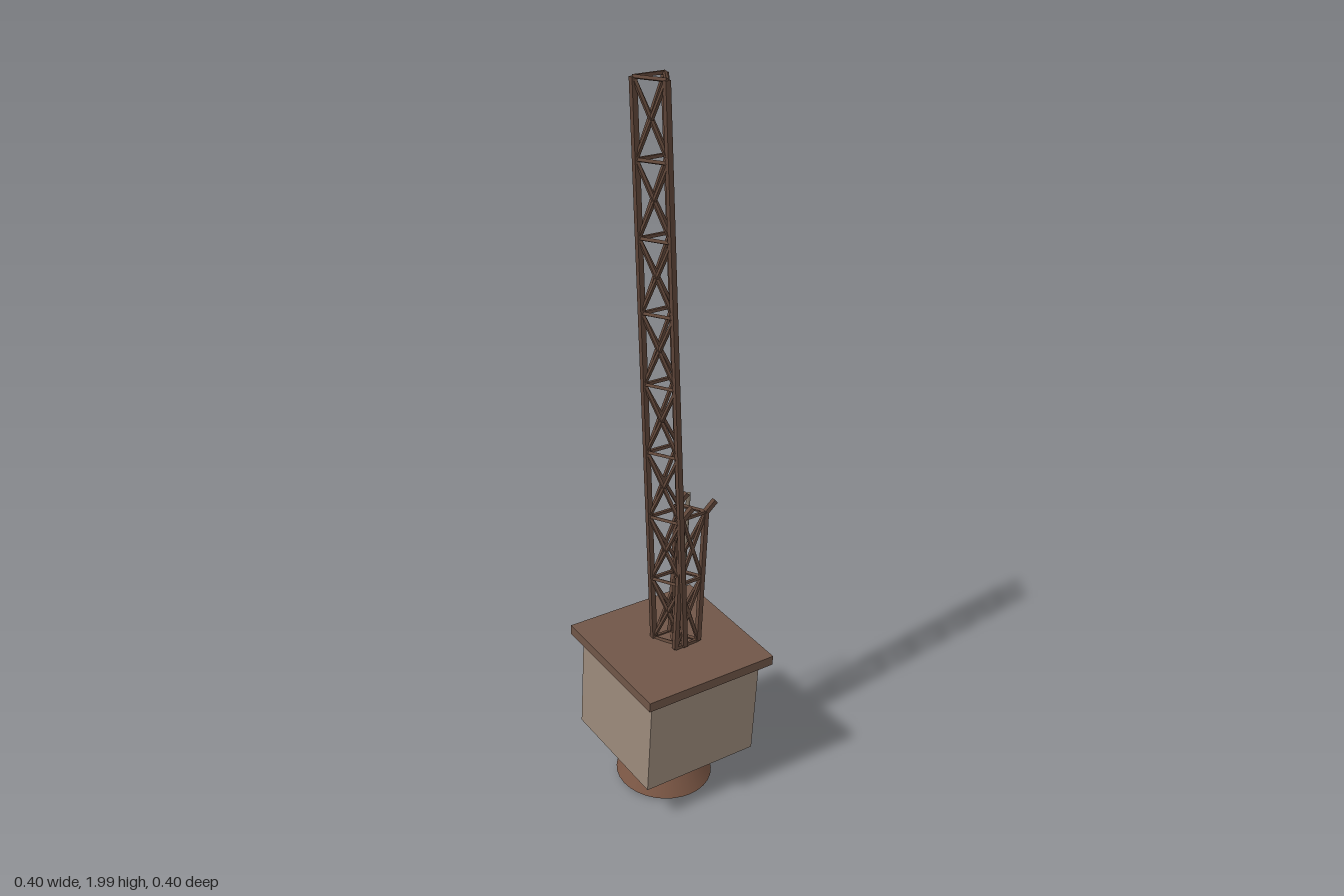
import * as THREE from 'three';

const mat = (name, color) => {
  const m = new THREE.MeshStandardMaterial({ color });
  m.name = name;
  return m;
};

export function createModel() {
  const wall = mat('weathered wall', 0x9c8a7b);
  const roofBrown = mat('roof brown', 0x705648);
  const rust = mat('rusty base', 0x7a5644);
  const mastBrown = mat('mast brown', 0x5e4538);
  const steel = mat('grey steel', 0x6c6d69);
  const rodGrey = mat('rod grey', 0x887b6b);

  const model = new THREE.Group();
  model.name = 'mastCabin';
  const V = (x, y, z) => new THREE.Vector3(x, y, z);

  function add(parent, name, geometry, material, x = 0, y = 0, z = 0) {
    const mesh = new THREE.Mesh(geometry, material);
    mesh.name = name;
    mesh.position.set(x, y, z);
    parent.add(mesh);
    return mesh;
  }

  // Square bar between two points
  function beam(parent, name, a, b, w, material, d = w) {
    const mesh = add(parent, name, new THREE.BoxGeometry(w, a.distanceTo(b), d), material);
    mesh.position.copy(a).add(b).multiplyScalar(0.5);
    mesh.quaternion.setFromUnitVectors(V(0, 1, 0), b.clone().sub(a).normalize());
    return mesh;
  }

  // Three-legged lattice with crossed bracing in every bay
  function lattice(name, bottom, top, bays, legWidth, braceWidth) {
    const group = new THREE.Group();
    group.name = name;
    model.add(group);
    const at = (leg, bay) => bottom[leg % 3].clone().lerp(top[leg % 3], bay / bays);
    for (let i = 0; i < 3; i++) {
      beam(group, 'leg', bottom[i], top[i], legWidth, mastBrown);
      for (let k = 0; k <= bays; k++) {
        beam(group, 'crossbar', at(i, k), at(i + 1, k), braceWidth, mastBrown);
        if (k === bays) continue;
        beam(group, 'brace', at(i, k), at(i + 1, k + 1), braceWidth, mastBrown);
        beam(group, 'brace', at(i + 1, k), at(i, k + 1), braceWidth, mastBrown);
      }
    }
    return group;
  }

  // Tilted cabin with overhanging roof and cone foot
  const cabin = new THREE.Group();
  cabin.name = 'cabin';
  cabin.position.set(-0.005, 0.288, -0.012);
  cabin.rotation.x = 0.085;
  model.add(cabin);
  add(cabin, 'walls', new THREE.BoxGeometry(0.347, 0.294, 0.342), wall);
  add(cabin, 'roof', new THREE.BoxGeometry(0.397, 0.028, 0.395), roofBrown, 0, 0.161, 0);
  add(cabin, 'coneFoot', new THREE.CylinderGeometry(0.072, 0.135, 0.124, 32), rust, 0, -0.207, 0);

  // Half-open hatch on the left wall
  const hatch = add(cabin, 'hatch', new THREE.BoxGeometry(0.008, 0.172, 0.064), wall, 0.185, 0.014, 0.029);
  hatch.rotation.y = 0.56;

  // Loose struts around the foot
  beam(model, 'footStrut', V(0.035, 0.15, -0.08), V(0.112, 0.035, -0.012), 0.028, steel);
  beam(model, 'footStrut', V(0.075, 0.15, 0.025), V(0.025, 0.04, -0.02), 0.028, steel);
  beam(model, 'footStrut', V(-0.075, 0.15, 0.05), V(-0.045, 0.05, 0.01), 0.018, steel);

  // Tall leaning mast
  lattice('mast',
    [V(-0.036, 0.465, -0.036), V(0.008, 0.465, 0.048), V(0.063, 0.465, -0.036)],
    [V(-0.118, 1.994, 0.018), V(-0.079, 1.994, 0.095), V(-0.032, 1.994, 0.018)], 8, 0.014, 0.008);

  // Broken-off short mast with bent leg ends
  const stubTop = [V(0.078, 0.85, 0.042), V(0.04, 0.85, -0.033), V(0.002, 0.85, 0.045)];
  const stubBottom = stubTop.map((p) => V(p.x - 0.022, 0.465, p.z));
  const stub = lattice('shortMast', stubBottom, stubTop, 2, 0.013, 0.008);
  for (const p of stubTop) beam(stub, 'bentEnd', p, p.clone().add(V(0.03, 0.025, 0)), 0.013, mastBrown);

  // Rod on the roof
  const rod = add(model, 'rod', new THREE.CylinderGeometry(0.006, 0.006, 0.385, 6), rodGrey, 0.107, 0.655, -0.095);
  rod.rotation.x = 0.085;

  return model;
}
